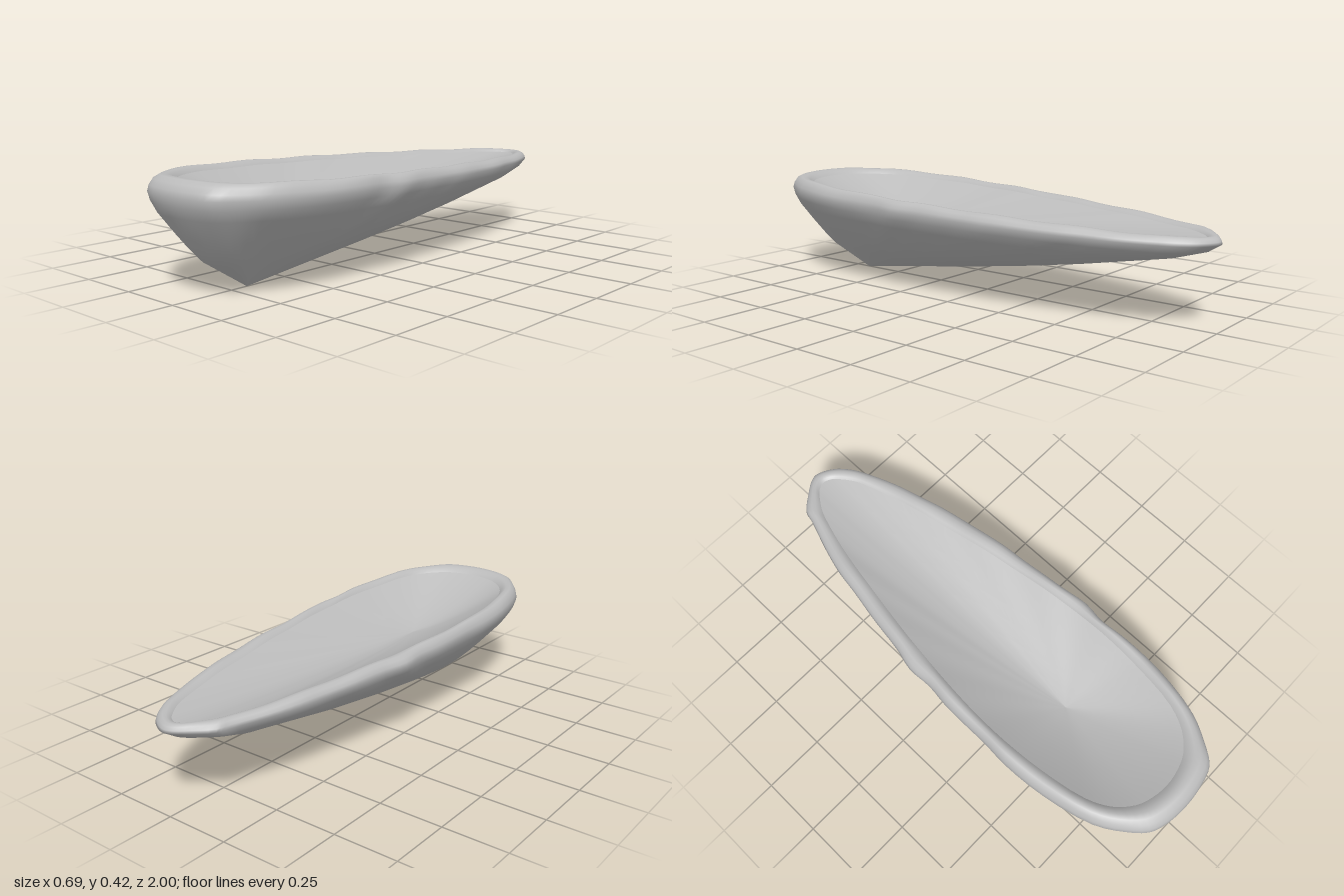
import * as THREE from 'three';

const SEGMENTS = 126;

// Rim from front to tail: [z, outer half width on -x, outer on +x, inner half width]
const OUTLINE = [
  [0.99, 0.1, 0.1, 0.07], [0.965, 0.165, 0.175, 0.13], [0.9, 0.225, 0.225, 0.195],
  [0.8, 0.285, 0.28, 0.24], [0.6, 0.332, 0.327, 0.272], [0.42, 0.345, 0.336, 0.284],
  [0.31, 0.338, 0.329, 0.284], [0.21, 0.337, 0.343, 0.28], [0.1, 0.334, 0.33, 0.272],
  [0, 0.322, 0.322, 0.262], [-0.1, 0.326, 0.313, 0.25], [-0.2, 0.302, 0.307, 0.238],
  [-0.35, 0.279, 0.285, 0.215], [-0.5, 0.25, 0.26, 0.19], [-0.6, 0.234, 0.234, 0.173],
  [-0.72, 0.2, 0.204, 0.148], [-0.85, 0.154, 0.155, 0.113], [-0.9, 0.14, 0.13, 0.095],
  [-0.955, 0.08, 0.088, 0.063], [-0.99, 0.032, 0.036, 0.035],
];

// Closed loop running front, +x, tail, -x
function sampleLoop(front, tail, side) {
  const points = [
    new THREE.Vector3(0, 0, front),
    ...OUTLINE.map((row) => side(row, 1)),
    new THREE.Vector3(0, 0, tail),
    ...[...OUTLINE].reverse().map((row) => side(row, -1)),
  ];
  const curve = new THREE.CatmullRomCurve3(points, true);
  return Array.from({ length: SEGMENTS }, (_, i) => curve.getPoint(i / SEGMENTS));
}

// Evens out the waves of a loop by averaging neighbours
function smoothLoop(loop, reach) {
  return loop.map((_, i) => {
    const sum = new THREE.Vector3();
    for (let k = -reach; k <= reach; k++) sum.add(loop[(i + k + SEGMENTS) % SEGMENTS]);
    return sum.divideScalar(2 * reach + 1);
  });
}

// Joins rings of points into a smooth skin
function skin(rings) {
  const index = [];
  for (let r = 0; r < rings.length - 1; r++) {
    for (let i = 0; i < SEGMENTS; i++) {
      const a = r * SEGMENTS + i;
      const b = r * SEGMENTS + ((i + 1) % SEGMENTS);
      index.push(a, b, b + SEGMENTS, a, b + SEGMENTS, a + SEGMENTS);
    }
  }
  const geometry = new THREE.BufferGeometry().setFromPoints(rings.flat());
  geometry.setIndex(index);
  geometry.computeVertexNormals();
  return geometry;
}

export function createModel() {
  const group = new THREE.Group();
  const grey = new THREE.MeshStandardMaterial({ color: 0xbcbcbc });
  grey.name = 'grey';

  const outer = sampleLoop(1, -1, ([z, l, r], s) => new THREE.Vector3(s > 0 ? r : -l, 0, z));
  const even = smoothLoop(outer, 6);
  const inner = sampleLoop(0.9, -0.945, ([z, , , w], s) =>
    new THREE.Vector3(s * w, 0, z * 0.92 - 0.02));

  // The whole rim slopes down to the tail
  const sideY = (z) => 0.335 + 0.025 * z;
  const topY = (z) => 0.376 + 0.039 * z + 0.002 * Math.sin(z * 19);

  // Hull: outline shrinking to the low point, fuller at the front and even lower down
  const keel = new THREE.Vector3(0, 0, 0.68);
  const hull = [[0, 0], [0.39, 0.3], [0.55, 0.435], [0.7, 0.575], [0.91, 0.8], [0.975, 0.91], [1, 1]]
    .map(([scale, height]) => outer.map((o, i) => {
      const p = even[i].clone().lerp(o, scale ** 4);
      const fullness = THREE.MathUtils.smoothstep(p.z, 0.75, 1);
      const s = Math.pow(scale, 1 - 0.33 * fullness);
      return new THREE.Vector3(p.x * s, sideY(p.z) * height, keel.z + (p.z - keel.z) * s);
    }));

  // Rounded rim rolling from the outline to the inner edge
  const rim = [[0.06, 0.4], [0.2, 0.78], [0.42, 1], [0.65, 1], [0.85, 0.85], [1, 0.6]]
    .map(([t, rise]) => outer.map((p, i) => {
      const q = p.clone().lerp(inner[i], t);
      q.y = THREE.MathUtils.lerp(sideY(p.z), topY(p.z), rise);
      return q;
    }));

  const shell = new THREE.Mesh(skin([...hull, ...rim]), grey);
  shell.name = 'hullAndRim';
  group.add(shell);

  // Hollow: shallow rounded bowl, lowest near the front
  const edge = rim[rim.length - 1];
  const floor = new THREE.Vector3(0, 0.25, 0.42);
  const dish = [1, 0.93, 0.85, 0.75, 0.62, 0.48, 0.32, 0.16, 0]
    .map((s) => edge.map((p) => new THREE.Vector3(
      p.x * s,
      THREE.MathUtils.lerp(floor.y, p.y, s ** 1.45),
      THREE.MathUtils.lerp(floor.z, p.z, s),
    )));
  const hollow = new THREE.Mesh(skin(dish), grey);
  hollow.name = 'hollow';
  group.add(hollow);

  return group;
}
